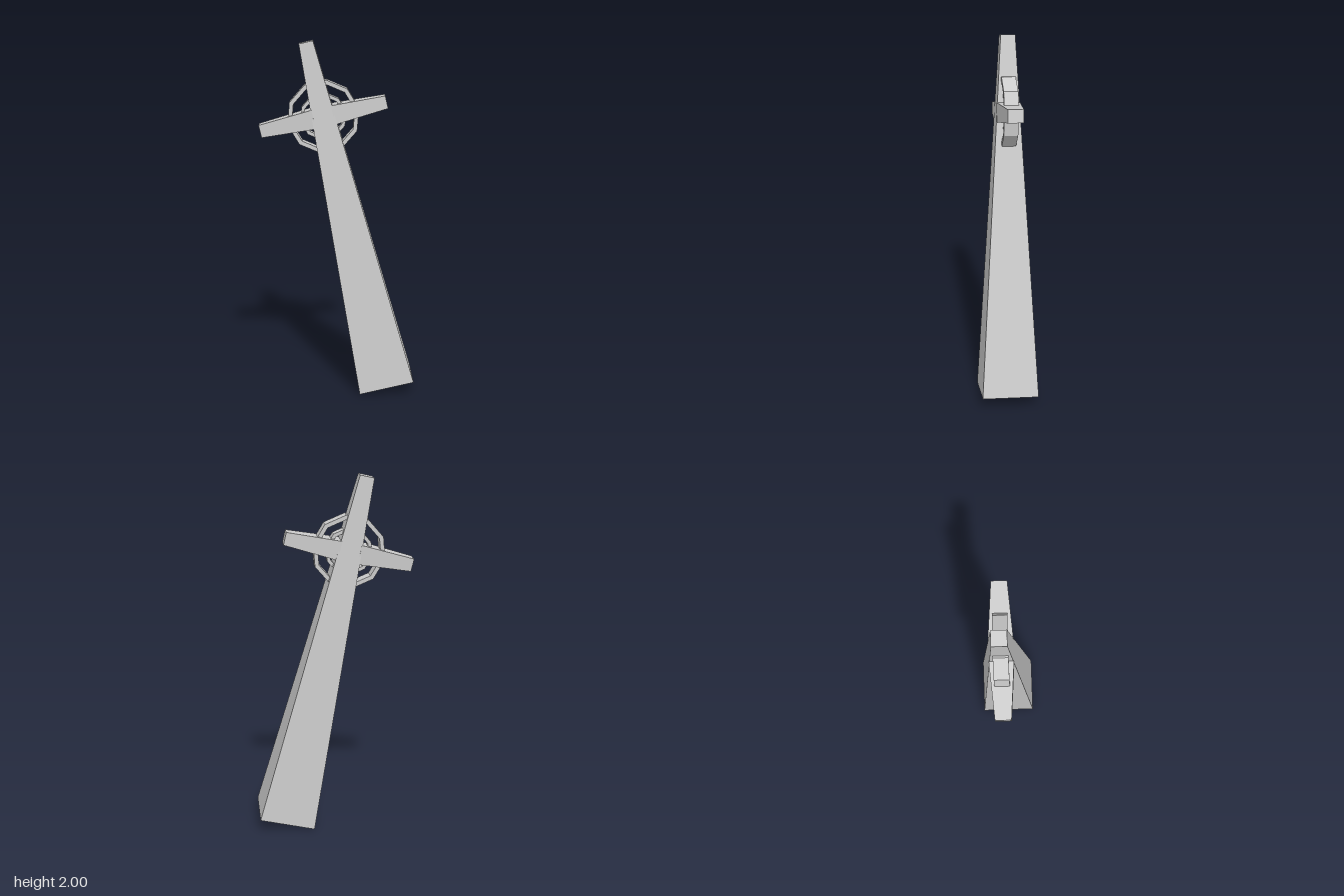
import * as THREE from 'three';

const material = new THREE.MeshStandardMaterial({ color: 0xcccccc, flatShading: true });

// Four-sided tapered block along +y, starting at y = 0
function taperedBlock(name, length, [w0, d0], [w1, d1]) {
  const geometry = new THREE.BoxGeometry(1, length, 1).translate(0, length / 2, 0);
  const p = geometry.attributes.position;
  for (let i = 0; i < p.count; i++) {
    const top = p.getY(i) > length / 2;
    p.setX(i, p.getX(i) * (top ? w1 : w0));
    p.setZ(i, p.getZ(i) * (top ? d1 : d0));
  }
  geometry.computeVertexNormals();
  const mesh = new THREE.Mesh(geometry, material);
  mesh.name = name;
  return mesh;
}

// Ten-sided flat ring facing z
function ring(name, outer, inner, depth) {
  const points = (r) => Array.from({ length: 10 }, (_, i) =>
    new THREE.Vector2(r * Math.cos(i * Math.PI / 5), r * Math.sin(i * Math.PI / 5)));
  const shape = new THREE.Shape(points(outer));
  shape.holes.push(new THREE.Path(points(inner).reverse()));
  const geometry = new THREE.ExtrudeGeometry(shape, { depth, bevelEnabled: false });
  geometry.translate(0, 0, -depth / 2);
  const mesh = new THREE.Mesh(geometry, material);
  mesh.name = name;
  return mesh;
}

export function createModel() {
  const model = new THREE.Group();
  model.name = 'leaningCross';

  // Upright shaft tapering to the top
  const leaning = new THREE.Group();
  leaning.name = 'cross';
  leaning.add(taperedBlock('shaft', 2.0, [0.314, 0.314], [0.079, 0.079]));

  // Crossing: two tapered arms and two rings
  const crossing = new THREE.Group();
  crossing.name = 'crossing';
  crossing.position.y = 1.584;
  for (const side of [-1, 1]) {
    const arm = taperedBlock(side > 0 ? 'leftArm' : 'rightArm', 0.302, [0.107, 0.129], [0.071, 0.084]);
    arm.position.x = side * 0.055;
    arm.rotation.z = -side * Math.PI / 2;
    crossing.add(arm);
  }
  crossing.add(ring('outerRing', 0.202, 0.178, 0.078));
  crossing.add(ring('innerRing', 0.13, 0.11, 0.06));
  leaning.add(crossing);

  // Lean the whole cross about its base
  const up = new THREE.Vector3(-0.223, 0.974, -0.038).normalize();
  const front = new THREE.Vector3(0.973, 0.221, 0.054).cross(up).normalize();
  const across = new THREE.Vector3().crossVectors(up, front);
  leaning.quaternion.setFromRotationMatrix(new THREE.Matrix4().makeBasis(across, up, front));
  leaning.position.set(0.272, 0.042, -0.002);
  model.add(leaning);
  return model;
}
